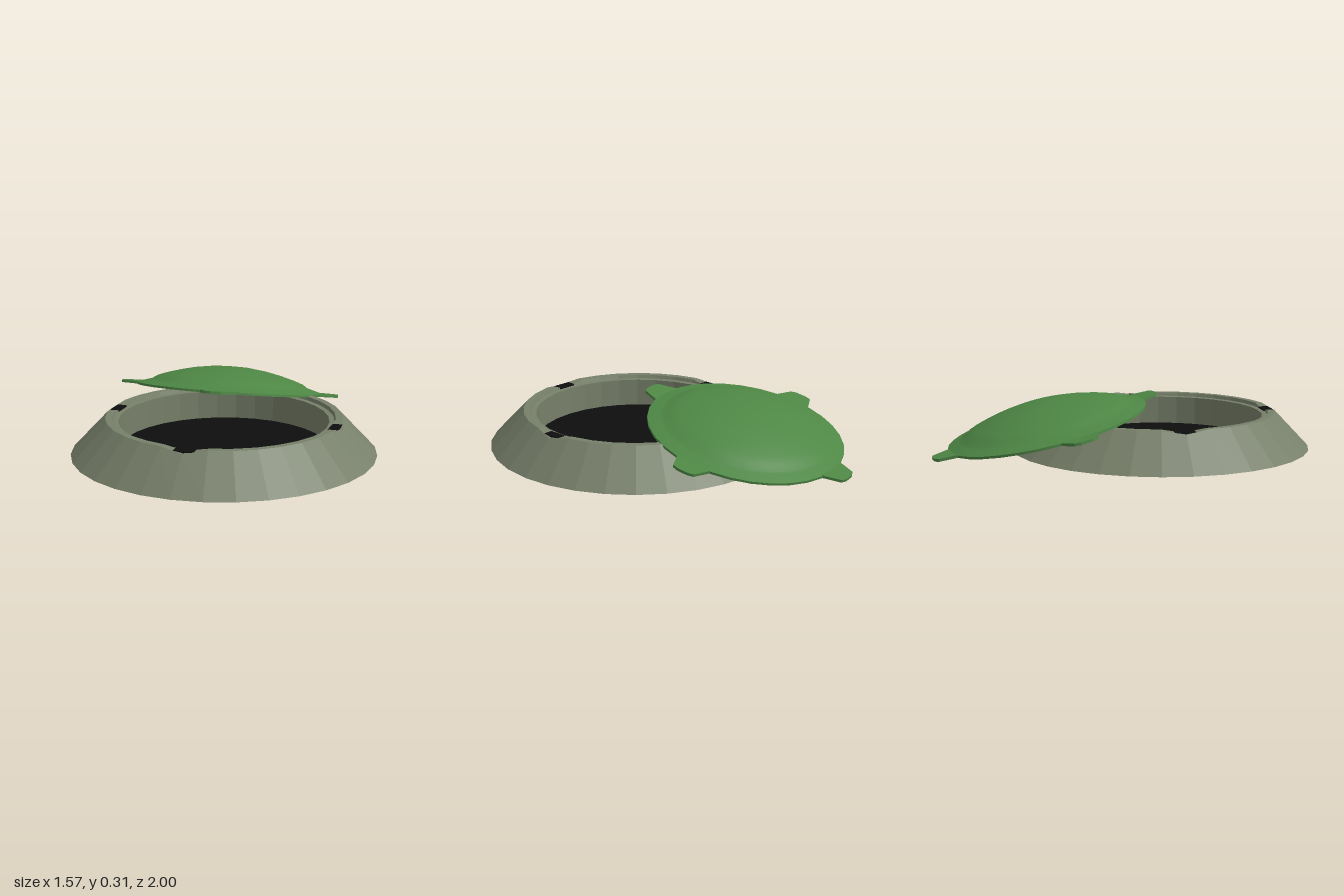
import * as THREE from 'three';
import { toCreasedNormals } from 'three/addons/utils/BufferGeometryUtils.js';

const SIDES = 32;
const lathe = (pts) =>
  new THREE.LatheGeometry(pts.map(([r, y]) => new THREE.Vector2(r, y)), SIDES);

function add(parent, name, geometry, material) {
  const mesh = new THREE.Mesh(geometry, material);
  mesh.name = name;
  parent.add(mesh);
  return mesh;
}

// Sloped ring whose lip dips at the four latch positions
function baseGeometry() {
  const geo = lathe([
    [0, 0], [0.787, 0], [0.607, 0.19], [0.572, 0.19],
    [0.566, 0.172], [0.54, 0.17], [0.54, 0.015],
  ]);
  const p = geo.attributes.position;
  for (let i = 0; i < p.count; i++) {
    const x = p.getX(i), z = p.getZ(i);
    const onAxis = Math.min(Math.abs(x), Math.abs(z)) < 0.001;
    if (!onAxis || p.getY(i) < 0.18) continue;
    const grow = Math.hypot(x, z) > 0.6 ? 0.625 / 0.607 : 1;
    p.setXYZ(i, x * grow, 0.171, z * grow);
  }
  return toCreasedNormals(geo, 0.05);
}

// Tapered locking tab, pointing along +z
function tabGeometry() {
  const s = new THREE.Shape();
  [[-0.1, 0.46], [0.1, 0.46], [0.095, 0.51], [0.06, 0.595],
    [0.03, 0.607], [-0.03, 0.607], [-0.06, 0.595], [-0.095, 0.51]]
    .forEach(([x, y], i) => (i ? s.lineTo(x, y) : s.moveTo(x, y)));
  const geo = new THREE.ExtrudeGeometry(s, { depth: 0.014, bevelEnabled: false });
  // lay flat: shape y becomes z, thickness hangs down and is lifted back to y = 0
  return geo.rotateX(Math.PI / 2).translate(0, 0.014, 0);
}

export function createModel() {
  const stone = new THREE.MeshStandardMaterial({ color: 0x77806a });
  stone.name = 'grey green';
  const green = new THREE.MeshStandardMaterial({ color: 0x4e8745 });
  green.name = 'lid green';
  const black = new THREE.MeshStandardMaterial({ color: 0x0e0e0e });
  black.name = 'black';

  const model = new THREE.Group();
  model.name = 'openHatch';

  // Base ring with dark floor
  const base = new THREE.Group();
  base.name = 'base';
  base.position.z = 0.21;
  model.add(base);
  add(base, 'baseRing', baseGeometry(), stone);
  add(base, 'shaftFloor', new THREE.CircleGeometry(0.54, SIDES).rotateX(-Math.PI / 2), black)
    .position.y = 0.02;

  // Latch slots in the rim dips
  for (let i = 0; i < 4; i++) {
    const a = (i * Math.PI) / 2;
    const slot = add(base, 'latchSlot', new THREE.BoxGeometry(0.105, 0.009, 0.05), black);
    slot.position.set(Math.sin(a) * 0.585, 0.1755, Math.cos(a) * 0.585);
    slot.rotation.y = a;
  }

  // Domed lid, slid off and leaning on the rim
  const lid = new THREE.Group();
  lid.name = 'lid';
  lid.position.set(-0.175, 0.152, -0.412);
  lid.rotation.set(-0.224, 0.19, 0);
  model.add(lid);
  const dome = lathe([
    [0, 0.006], [0.47, 0.006], [0.48, 0], [0.516, 0], [0.516, 0.012],
    [0.455, 0.03], [0.44, 0.034], [0.41, 0.054], [0.36, 0.072], [0.28, 0.095],
    [0.2, 0.113], [0.1, 0.127], [0, 0.131],
  ]);
  add(lid, 'lidDome', toCreasedNormals(dome, 0.45), green);

  // Locking tabs around the lid
  for (let i = 0; i < 4; i++) {
    add(lid, 'lidTab', tabGeometry(), green).rotation.y = (i * Math.PI) / 2;
  }
  return model;
}
